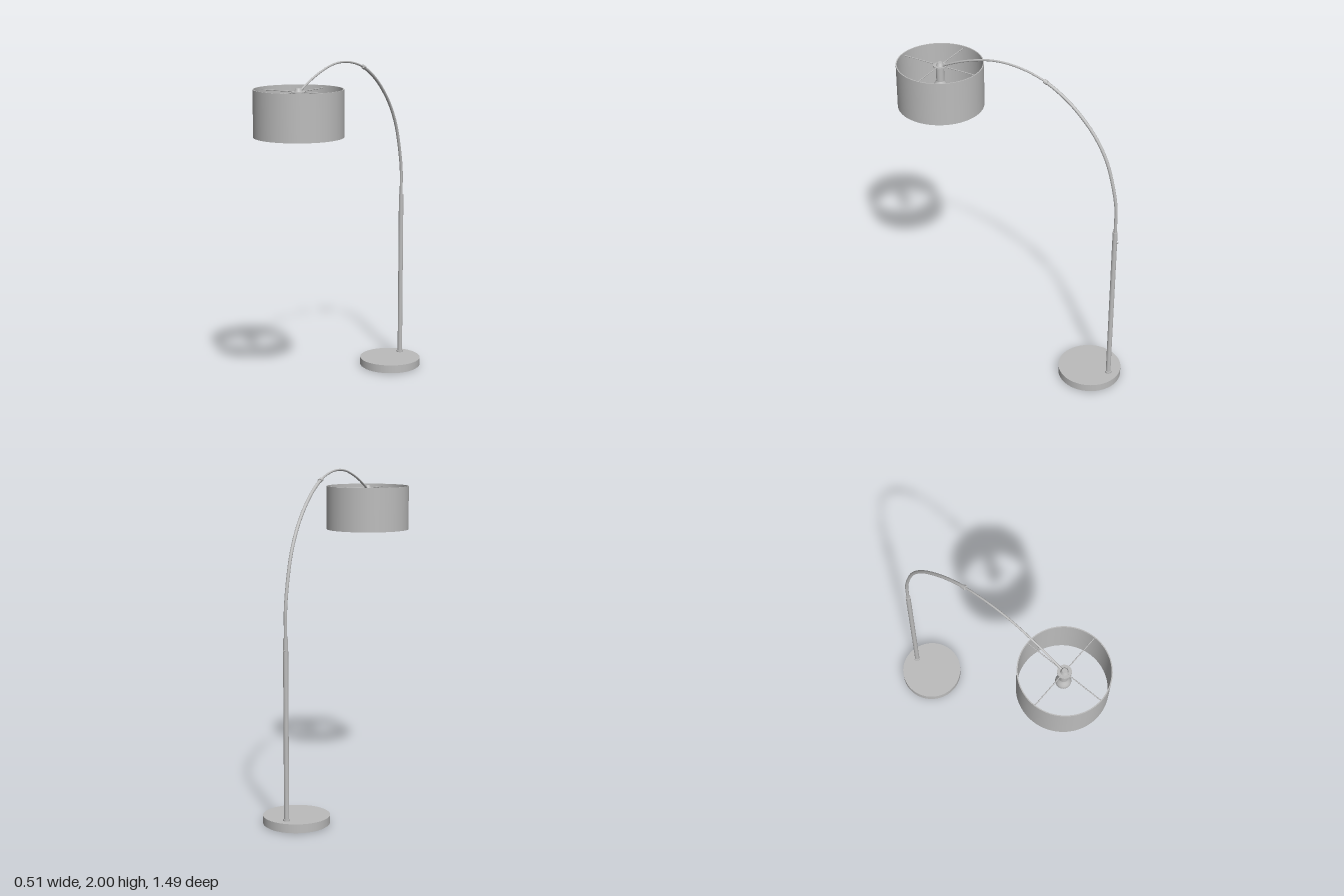
import * as THREE from 'three';

export function createModel() {
  const model = new THREE.Group();
  const grey = new THREE.MeshStandardMaterial({ color: 0xbcbcbc });
  grey.name = 'satin grey';

  const add = (name, geometry, x = 0, y = 0, z = 0) => {
    const mesh = new THREE.Mesh(geometry, grey);
    mesh.name = name;
    mesh.position.set(x, y, z);
    model.add(mesh);
    return mesh;
  };
  const rod = (r, h, sides = 24) => new THREE.CylinderGeometry(r, r, h, sides);
  const poleZ = -0.68, shadeZ = 0.49;

  // Heavy round foot with a slightly raised pad beneath
  add('base', rod(0.192, 0.047, 72), 0, 0.0315, -0.55);
  add('basePad', rod(0.18, 0.01, 72), 0, 0.005, -0.55);

  // Upright pole with its foot collar and clamp screw
  add('pole', rod(0.0145, 1.045), 0, 0.5775, poleZ);
  add('poleCollar', rod(0.02, 0.012), 0, 0.06, poleZ);
  add('clampScrew', rod(0.005, 0.012, 12), 0, 1.03, poleZ - 0.015).rotation.x = Math.PI / 2;

  // Two-stage bowed arm: thick lower tube, thin upper tube
  const bow = new THREE.CatmullRomCurve3([
    [1.06, -0.68], [1.16, -0.68], [1.27, -0.677], [1.42, -0.648], [1.56, -0.603],
    [1.68, -0.535], [1.775, -0.455], [1.87, -0.345], [1.946, -0.21], [1.983, -0.08],
    [1.994, 0.04], [1.985, 0.145], [1.96, 0.245], [1.925, 0.345], [1.882, 0.44], [1.858, 0.485],
  ].map(([y, z]) => new THREE.Vector3(0, y, z)));
  const joint = 8 / 15;
  const section = (from, to) => {
    const points = [];
    for (let i = 0; i <= 32; i++) points.push(bow.getPoint(from + (to - from) * i / 32));
    return new THREE.CatmullRomCurve3(points);
  };
  add('lowerArm', new THREE.TubeGeometry(section(0, joint), 80, 0.0095, 14));
  add('upperArm', new THREE.TubeGeometry(section(joint - 0.03, 1), 80, 0.0062, 14));

  // Collar where the tubes join, with a small thumb screw
  const tangent = bow.getTangent(joint);
  const collar = add('armCollar', rod(0.0125, 0.022, 20));
  collar.position.copy(bow.getPoint(joint));
  collar.quaternion.setFromUnitVectors(new THREE.Vector3(0, 1, 0), tangent);
  add('armScrew', rod(0.004, 0.012, 10), 0.012, 1.946, -0.21).rotation.z = Math.PI / 2;

  // Open drum shade with a thin wall
  const shadeProfile = [[0.249, 1.61], [0.255, 1.61], [0.255, 1.878], [0.249, 1.878], [0.249, 1.61]];
  const lathe = (profile, sides) => {
    // Each straight run gets its own normals so that rims stay sharp
    const group = [];
    for (let i = 0; i < profile.length - 1; i++) {
      group.push(new THREE.LatheGeometry(
        [profile[i], profile[i + 1]].map(([r, y]) => new THREE.Vector2(r, y)), sides));
    }
    return group;
  };
  lathe(shadeProfile, 96).forEach((g, i) =>
    add(['shadeLowerRim', 'shadeOuter', 'shadeUpperRim', 'shadeInner'][i], g, 0, 0, shadeZ));

  // Four spokes carrying the shade
  for (let i = 0; i < 4; i++) {
    const a = i * Math.PI / 2;
    const spoke = add('shadeSpoke', rod(0.003, 0.25, 10),
      Math.sin(a) * 0.125, 1.862, shadeZ + Math.cos(a) * 0.125);
    spoke.rotation.set(Math.PI / 2, 0, -a);
  }

  // Hub, lamp holder and bulb
  add('hubDisc', rod(0.04, 0.008, 36), 0, 1.86, shadeZ);
  add('hubCap', new THREE.CylinderGeometry(0.014, 0.024, 0.02, 28), 0, 1.872, shadeZ);
  add('lampHolder', rod(0.024, 0.09, 28), 0, 1.811, shadeZ);
  const bulb = [[0, 1.68], [0.018, 1.684], [0.034, 1.695], [0.042, 1.71], [0.044, 1.724],
    [0.041, 1.738], [0.032, 1.753], [0.022, 1.768], [0.019, 1.785]];
  add('bulb', new THREE.LatheGeometry(bulb.map(([r, y]) => new THREE.Vector2(r, y)), 36), 0, 0, shadeZ);

  return model;
}
